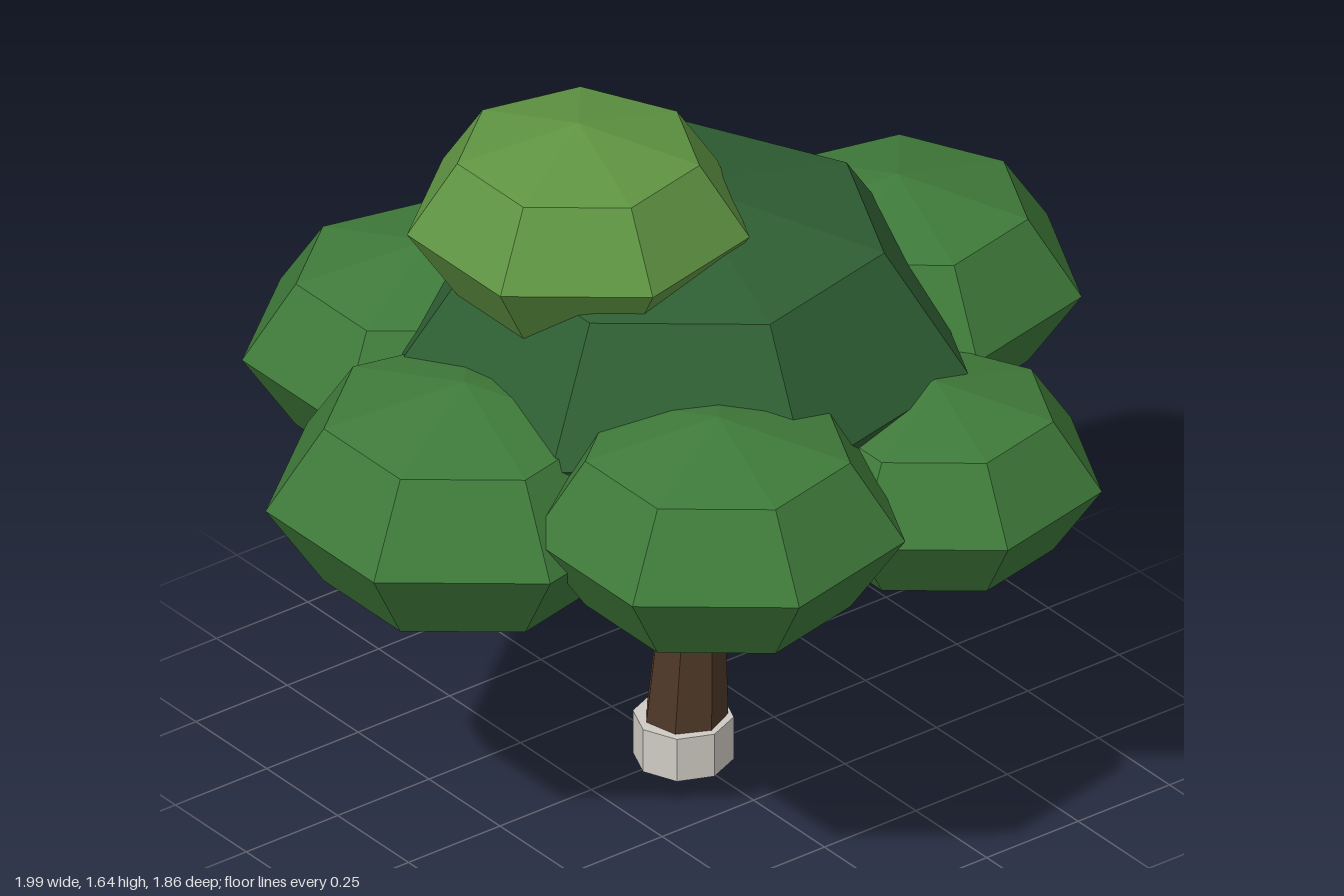
import * as THREE from 'three';

const flat = (color) => new THREE.MeshStandardMaterial({ color, flatShading: true });

export function createModel() {
  const tree = new THREE.Group();
  tree.name = 'tree';

  const bark = flat(0x4d3727);
  const stone = flat(0xcfcbc3);
  const leaf = flat(0x3f7a3a);
  const darkLeaf = flat(0x2f5f33);
  const lightLeaf = flat(0x5f9442);

  function add(name, geometry, material) {
    const mesh = new THREE.Mesh(geometry, material);
    mesh.name = name;
    tree.add(mesh);
    return mesh;
  }

  // Tapered limb running from one point to another
  function limb(name, from, to, r0, r1, sides) {
    const a = new THREE.Vector3(...from);
    const b = new THREE.Vector3(...to);
    const dir = b.clone().sub(a);
    const mesh = add(name, new THREE.CylinderGeometry(r1, r0, dir.length(), sides), bark);
    mesh.position.copy(a).add(b).multiplyScalar(0.5);
    mesh.quaternion.setFromUnitVectors(new THREE.Vector3(0, 1, 0), dir.normalize());
  }

  // Flattened seven-sided clump of leaves, one corner pointing to +x
  function clump(name, x, y, z, r, material) {
    const geometry = new THREE.SphereGeometry(r, 7, 4);
    geometry.rotateY(Math.PI);
    geometry.scale(1, 0.615, 1);
    add(name, geometry, material).position.set(x, y, z);
  }

  // Stone collar around the foot
  add('baseCollar', new THREE.CylinderGeometry(0.11, 0.11, 0.106, 8), stone)
    .position.set(-0.01, 0.058, 0.015);

  // Slightly leaning trunk
  limb('trunk', [-0.01, 0.005, 0.015], [0.015, 0.5, 0.018], 0.1, 0.066, 7);

  // Four branches spreading into the crown
  const fork = [0.01, 0.44, 0.017];
  limb('branchRight', fork, [-0.4, 0.81, -0.03], 0.038, 0.02, 5);
  limb('branchFront', fork, [0.01, 0.78, 0.43], 0.038, 0.02, 5);
  limb('branchLeft', fork, [0.25, 0.8, 0.09], 0.038, 0.02, 5);
  limb('branchBack', fork, [0.14, 0.8, -0.29], 0.038, 0.02, 5);

  // Crown: dark core, six outer clumps and a light cap
  clump('crownCore', -0.01, 1.057, 0.012, 0.635, darkLeaf);
  clump('clumpLeft', 0.58, 1.0, 0.01, 0.41, leaf);
  clump('clumpFrontLeft', 0.285, 0.855, 0.525, 0.37, leaf);
  clump('clumpFrontRight', -0.306, 0.95, 0.52, 0.416, leaf);
  clump('clumpRight', -0.603, 0.89, 0.008, 0.44, leaf);
  clump('clumpBackRight', -0.312, 0.918, -0.503, 0.407, leaf);
  clump('clumpBackLeft', 0.28, 0.868, -0.5, 0.445, leaf);
  clump('crownCap', -0.23, 1.405, -0.07, 0.38, lightLeaf);

  return tree;
}
